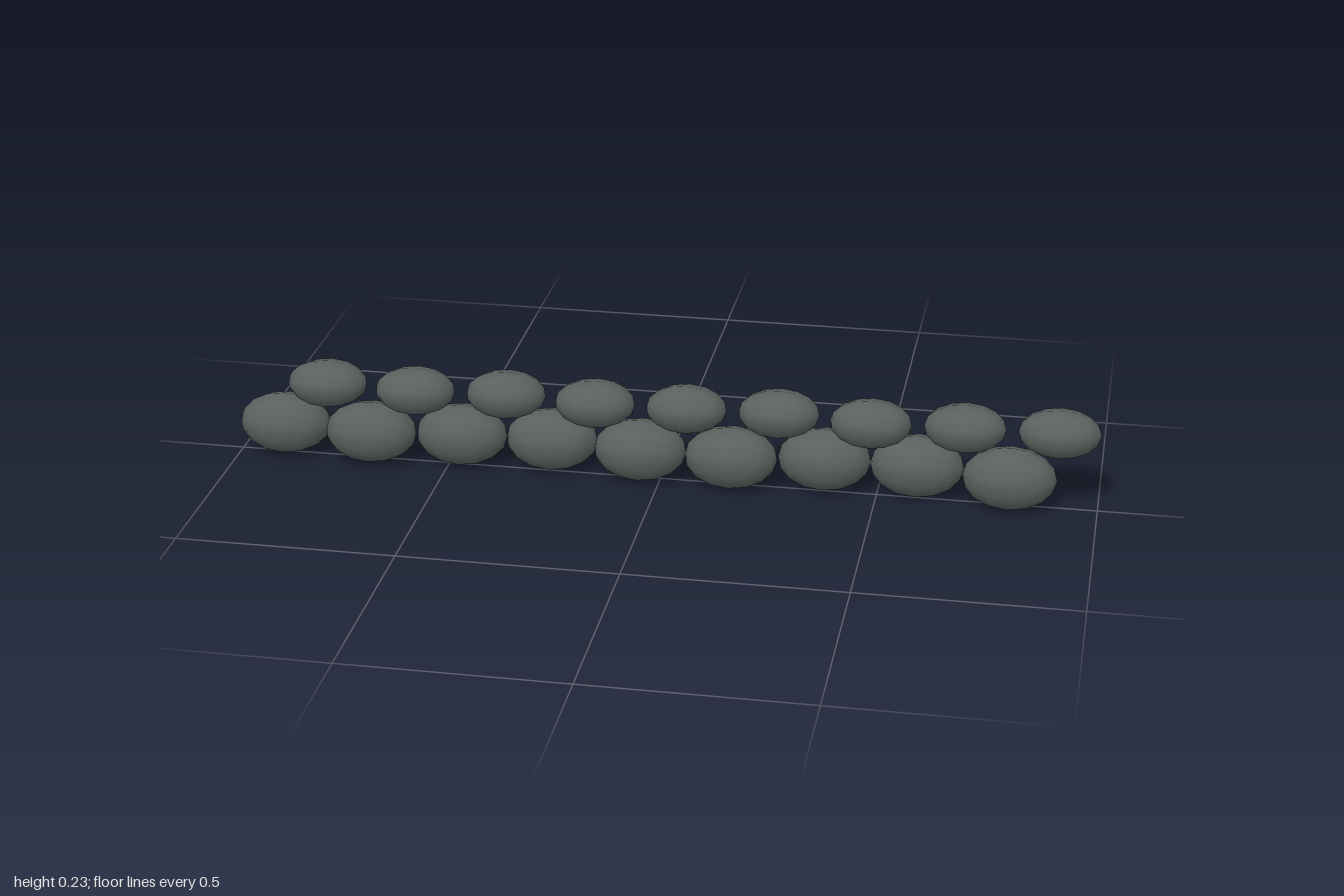
import * as THREE from 'three';

export function createModel() {
  const model = new THREE.Group();
  const stone = new THREE.MeshStandardMaterial({ color: 0x5b615f });
  stone.name = 'dark grey stone';

  // Unit boulder: ten sides around the long x axis
  const boulder = new THREE.SphereGeometry(1, 10, 8);
  boulder.rotateZ(Math.PI / 2);

  // One course of evenly spaced boulders, each nudged slightly in z
  function addCourse(name, startX, y, size, offsets) {
    const course = new THREE.Group();
    course.name = name;
    offsets.forEach((z, i) => {
      const mesh = new THREE.Mesh(boulder, stone);
      mesh.name = name + 'Stone' + (i + 1);
      mesh.scale.set(...size);
      mesh.position.set(startX + i * 0.2117, y, z);
      course.add(mesh);
    });
    model.add(course);
  }

  // Large lower stones, with smaller ones resting over the gaps
  addCourse('lowerCourse', -0.893, 0.0735, [0.107, 0.0735, 0.075],
    [-0.002, 0.0157, -0.006, -0.0157, 0.007, 0.0135, -0.0145, -0.0155, 0.0157]);
  addCourse('upperCourse', -0.787, 0.18, [0.093, 0.055, 0.07],
    [-0.004, 0.005, -0.0105, 0.005, 0, -0.0105, 0.009, -0.004, -0.0105]);

  return model;
}
